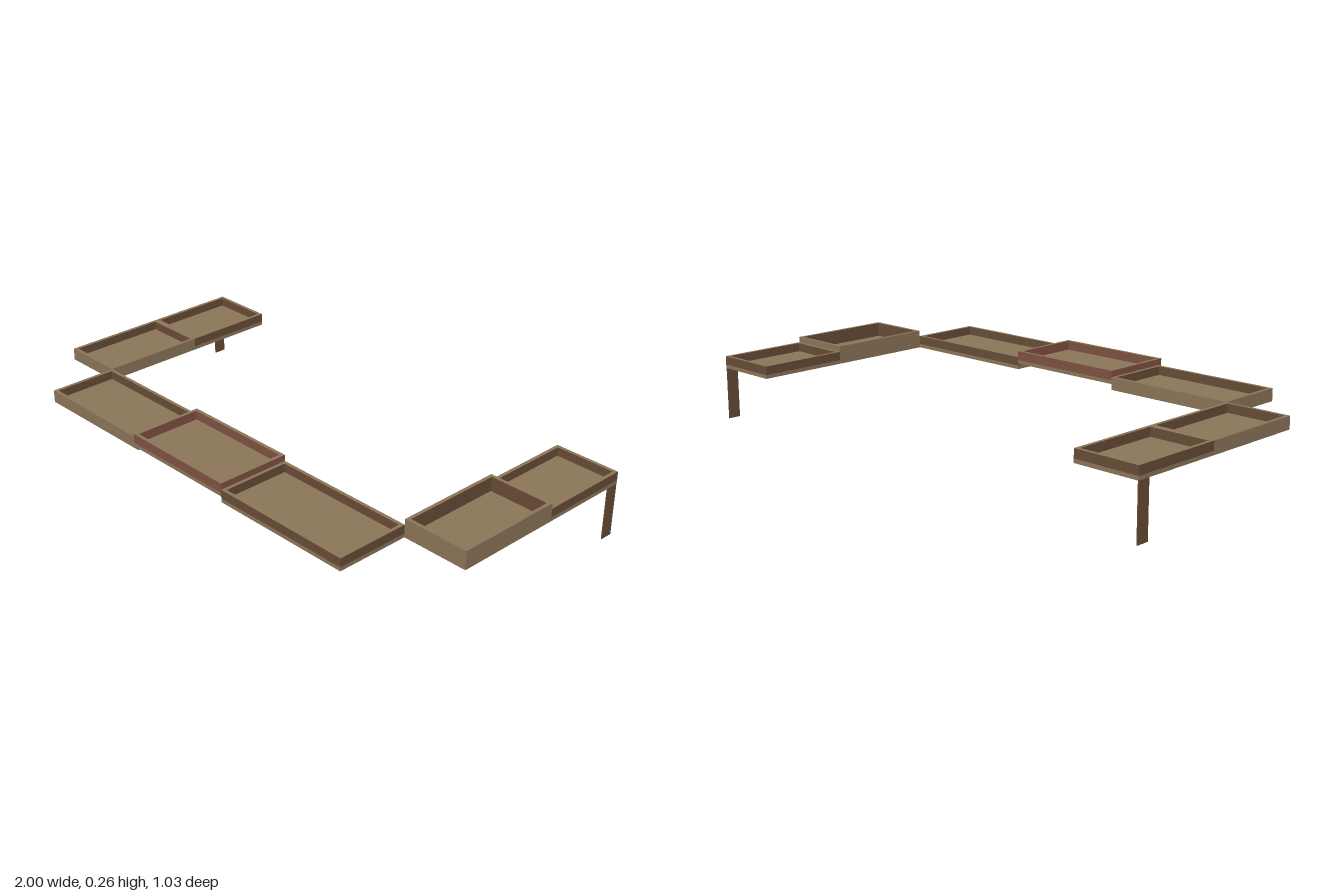
import * as THREE from 'three';

export function createModel() {
  const mat = (name, color) => {
    const m = new THREE.MeshStandardMaterial({ color });
    m.name = name;
    return m;
  };
  const tan = mat('tan wood', 0x8b7558);
  const brown = mat('dark brown wood', 0x674c36);
  const red = mat('reddish wood', 0x7f5240);
  const model = new THREE.Group();
  model.name = 'trayWalkway';

  // Box given by its two corners; materials in order +x, -x, +y, -y, +z, -z
  const box = (name, [x0, x1], [y0, y1], [z0, z1], material) => {
    const mesh = new THREE.Mesh(new THREE.BoxGeometry(x1 - x0, y1 - y0, z1 - z0), material);
    mesh.position.set((x0 + x1) / 2, (y0 + y1) / 2, (z0 + z1) / 2);
    mesh.name = name;
    return mesh;
  };

  // Open tray: a tan floor board with four thin walls that have tan top edges
  const wall = 0.013, floor = 0.014;
  const tray = (name, [x0, x1], [y0, y1], [z0, z1], outer, inner) => {
    const group = new THREE.Group();
    group.name = name;
    const yFloor = y0 + floor, ys = [yFloor, y1];
    group.add(
      box('floor', [x0, x1], [y0, yFloor], [z0, z1], tan),
      box('leftWall', [x1 - wall, x1], ys, [z0, z1], [outer, inner, tan, tan, outer, outer]),
      box('rightWall', [x0, x0 + wall], ys, [z0, z1], [inner, outer, tan, tan, outer, outer]),
      box('frontWall', [x0 + wall, x1 - wall], ys, [z1 - wall, z1], [inner, inner, tan, tan, outer, inner]),
      box('backWall', [x0 + wall, x1 - wall], ys, [z0, z0 + wall], [inner, inner, tan, tan, inner, outer])
    );
    model.add(group);
  };

  // Right arm
  tray('rightBackTray', [-1, -0.753], [0.195, 0.241], [-0.515, -0.163], brown, brown);
  tray('rightFrontTray', [-1, -0.753], [0.195, 0.241], [-0.163, 0.237], tan, brown);
  // Front row
  tray('frontRowRightTray', [-0.753, -0.255], [0.195, 0.241], [0.237, 0.5], tan, brown);
  tray('frontRowMiddleTray', [-0.255, 0.203], [0.216, 0.264], [0.237, 0.515], red, red);
  tray('frontRowLeftTray', [0.203, 0.75], [0.195, 0.241], [0.237, 0.515], brown, brown);
  // Left arm
  tray('leftFrontTray', [0.75, 1], [0.195, 0.262], [-0.17, 0.237], tan, brown);
  tray('leftBackTray', [0.75, 1], [0.195, 0.241], [-0.515, -0.17], brown, brown);

  // Thin legs under the outer back corners
  for (const side of [-1, 1]) {
    const x = side * 0.998;
    model.add(box(side > 0 ? 'leftLeg' : 'rightLeg', [x - 0.002, x + 0.002], [0, 0.195], [-0.514, -0.467], brown));
  }
  return model;
}
